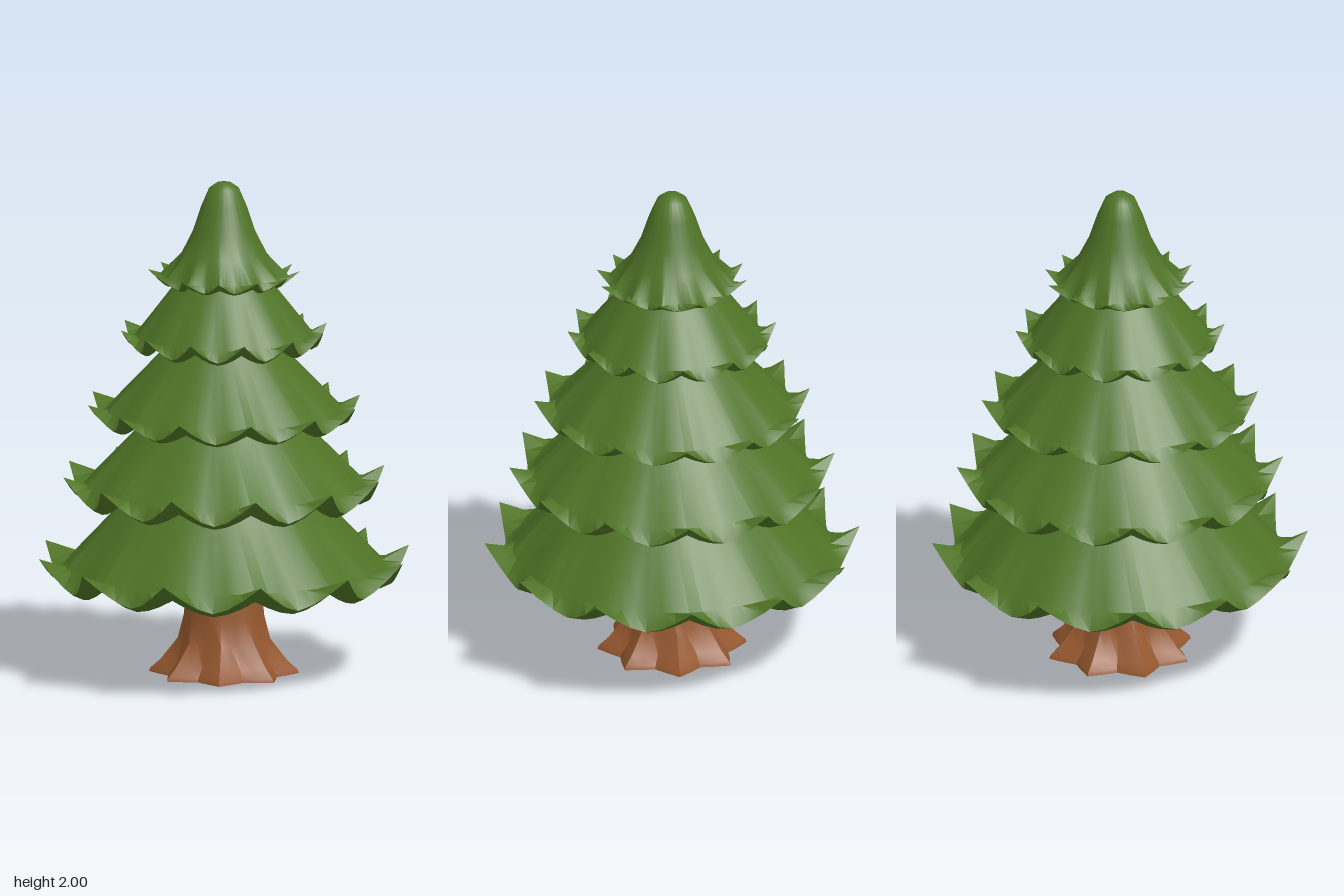
import * as THREE from 'three';
import { toCreasedNormals } from 'three/addons/utils/BufferGeometryUtils.js';

const lerp = THREE.MathUtils.lerp;

// Skin over rings listed from top to bottom. Each ring is
// [valley radius, valley y, tip radius, tip y]; the last two default to the first two.
function loft(rings, tips, steps, offset, sharpness, crease) {
  const n = tips * steps;
  const point = ([r, y, tr = r, ty = y], j) => {
    const f = (j % steps) / steps;
    const w = Math.pow(Math.abs(1 - 2 * f), sharpness);
    const a = ((j % n) / n) * Math.PI * 2 + offset;
    const rad = lerp(r, tr, w);
    return [rad * Math.sin(a), lerp(y, ty, w), rad * Math.cos(a)];
  };
  const pos = [];
  for (let i = 0; i < rings.length - 1; i++) {
    for (let j = 0; j < n; j++) {
      const a = point(rings[i], j), b = point(rings[i + 1], j);
      const c = point(rings[i + 1], j + 1), d = point(rings[i], j + 1);
      if (rings[i + 1][0] > 0) pos.push(...a, ...b, ...c);
      if (rings[i][0] > 0) pos.push(...a, ...c, ...d);
    }
  }
  const geo = new THREE.BufferGeometry();
  geo.setAttribute('position', new THREE.Float32BufferAttribute(pos, 3));
  return toCreasedNormals(geo, crease);
}

export function createModel() {
  const tree = new THREE.Group();
  tree.name = 'pineTree';
  const needles = new THREE.MeshStandardMaterial({ name: 'needle green', color: 0x4f7326 });
  const bark = new THREE.MeshStandardMaterial({ name: 'bark brown', color: 0x96582f });

  const add = (name, geo, mat) => {
    const mesh = new THREE.Mesh(geo, mat);
    mesh.name = name;
    tree.add(mesh);
  };

  // Trunk spreading into eight roots
  add('trunk', loft([
    [0, 0.72], [0.14, 0.72], [0.155, 0.36], [0.16, 0.24],
    [0.165, 0.14, 0.185, 0.14], [0.2, 0.05, 0.255, 0.05],
    [0.23, 0.015, 0.295, 0.015], [0.235, 0, 0.3, 0], [0, 0],
  ], 8, 4, 0, 1.3, 0.6), bark);

  // Branch tiers: tip radius and height, valley height, crown profile
  const tiers = [
    { R: 0.755, tip: 0.49, low: 0.35, crown: [[0, 0.88], [0.27, 0.87], [0.4, 0.7]] },
    { R: 0.655, tip: 0.82, low: 0.69, crown: [[0, 1.18], [0.19, 1.17], [0.32, 1.02]] },
    { R: 0.555, tip: 1.11, low: 1.01, crown: [[0, 1.47], [0.13, 1.46], [0.24, 1.32]] },
    { R: 0.42, tip: 1.41, low: 1.32, crown: [[0, 1.73], [0.09, 1.72], [0.2, 1.58]] },
    {
      R: 0.305, tip: 1.64, low: 1.58, valley: 0.79, offset: Math.PI / 12,
      crown: [[0, 2], [0.03, 1.997], [0.06, 1.975], [0.092, 1.9], [0.125, 1.8], [0.17, 1.71]],
    },
  ];

  tiers.forEach(({ R, tip, low, crown, valley = 0.89, offset = 0 }, k) => {
    const h = tip - low;
    const innerY = k === 4 ? 1.7 : crown[1][1] - 0.12;
    const rings = [
      ...crown,
      [R * (valley - 0.06), low + h * 0.65, R * 0.85, low + h * 0.68], // hem
      [R * valley, low + h * 0.15, R, tip],                            // upturned rim
      [R * (valley - 0.06), low, R * 0.85, low + h * 0.45],            // lip underneath
      [0.1, innerY], [0, innerY],                                      // hollow underside
    ];
    add('branchTier' + (k + 1), loft(rings, 12, 6, offset, 1.6, 0.7), needles);
  });

  return tree;
}
